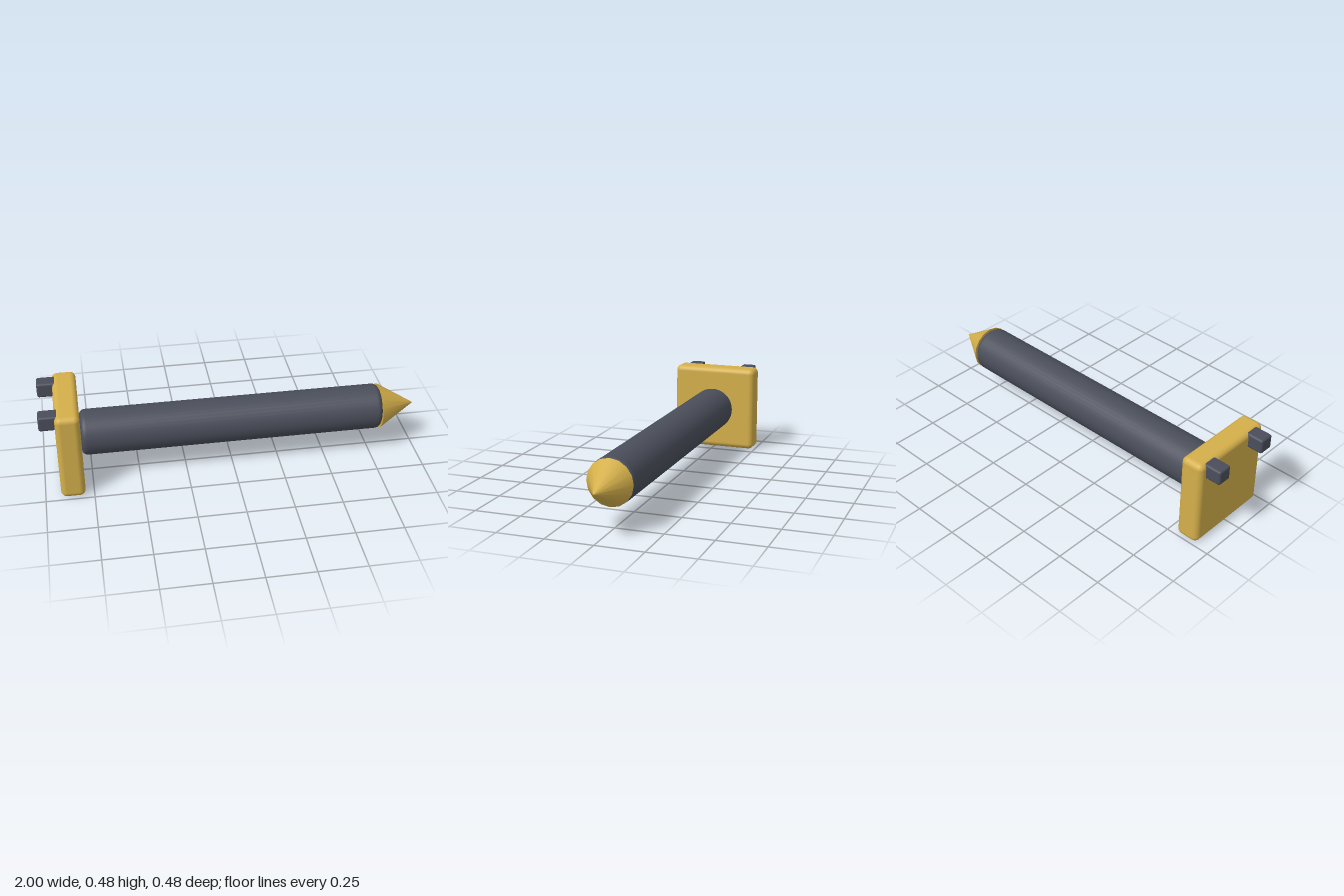
import * as THREE from 'three';
import { RoundedBoxGeometry } from 'three/addons/geometries/RoundedBoxGeometry.js';

export function createModel() {
  const model = new THREE.Group();
  model.name = 'spikedBolt';
  const gold = new THREE.MeshStandardMaterial({ name: 'gold', color: 0xd4af4a });
  const slate = new THREE.MeshStandardMaterial({ name: 'slate', color: 0x4a4e5a });
  const axisY = 0.24;

  const add = (name, geometry, material, x, y, z = 0) => {
    const mesh = new THREE.Mesh(geometry, material);
    mesh.name = name;
    mesh.position.set(x, y, z);
    model.add(mesh);
  };

  // Square base plate with rounded edges
  add('basePlate', new RoundedBoxGeometry(0.125, 0.48, 0.48, 4, 0.03), gold, -0.857, axisY);

  // Shaft: lathed bar with rounded ends, laid along x
  const radius = 0.12, half = 0.8, round = 0.03;
  const profile = [new THREE.Vector2(0, -half)];
  for (const end of [-1, 1]) {
    for (let i = 0; i <= 4; i++) {
      const a = (end < 0 ? i - 4 : i) * Math.PI / 8;
      profile.push(new THREE.Vector2(
        radius - round + round * Math.cos(a),
        end * (half - round) + round * Math.sin(a)));
    }
  }
  profile.push(new THREE.Vector2(0, half));
  add('shaft', new THREE.LatheGeometry(profile, 40).rotateZ(-Math.PI / 2), slate, 0.005, axisY);

  // Pointed tip
  const tip = new THREE.ConeGeometry(radius, 0.195, 16).rotateZ(-Math.PI / 2);
  add('tip', tip, gold, 0.9, axisY);

  // Pair of pegs behind the plate
  for (const side of [-1, 1]) {
    add(side > 0 ? 'frontPeg' : 'backPeg',
      new RoundedBoxGeometry(0.12, 0.08, 0.08, 3, 0.012), slate, -0.94, 0.435, side * 0.16);
  }
  return model;
}
